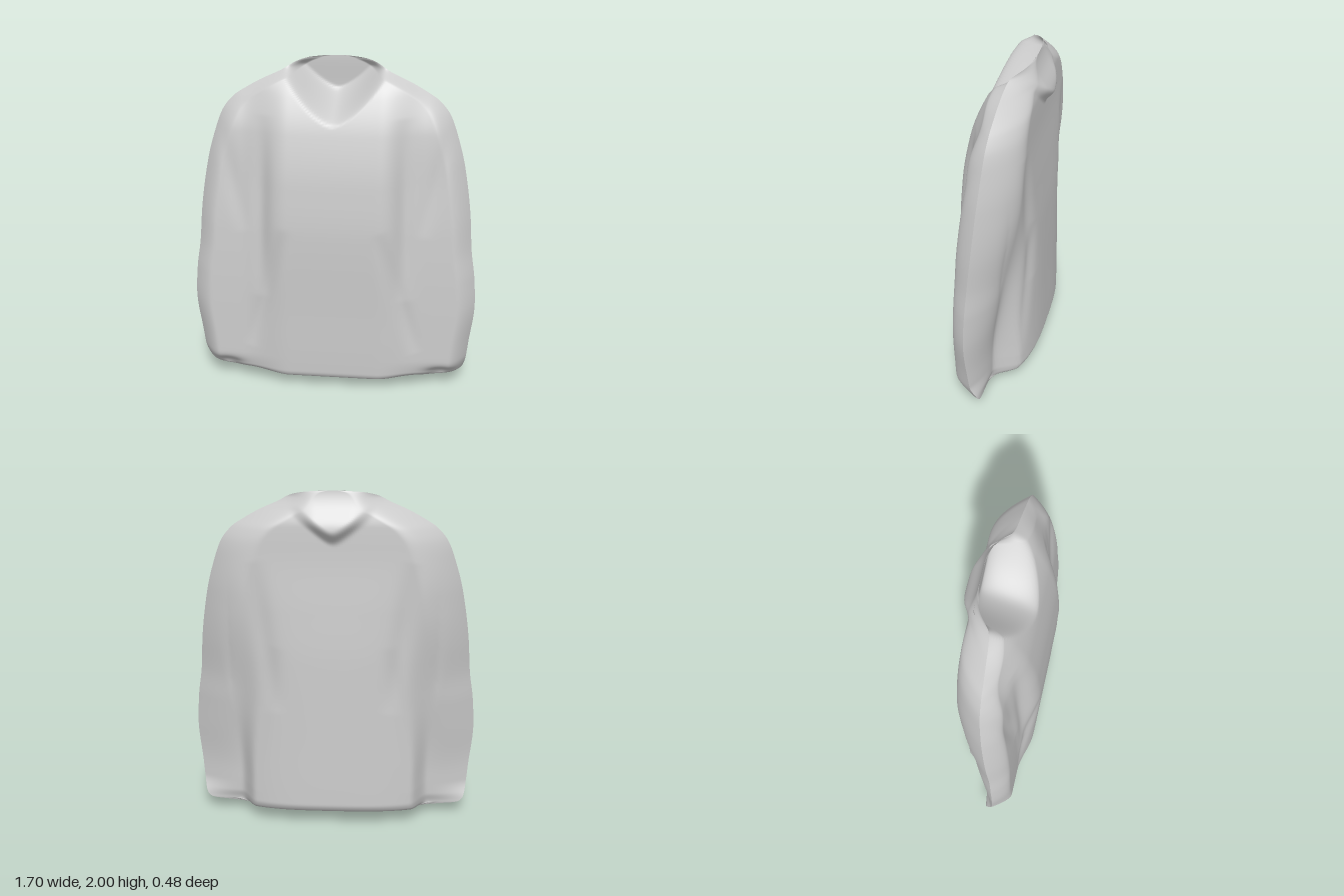
import * as THREE from 'three';

// Smooth monotone curve through [y, value] pairs
function profile(pts) {
  const n = pts.length;
  const slope = i => (pts[i + 1][1] - pts[i][1]) / (pts[i + 1][0] - pts[i][0]);
  const m = pts.map((p, i) => {
    if (i === 0) return slope(0);
    if (i === n - 1) return slope(n - 2);
    const a = slope(i - 1), b = slope(i);
    return a * b <= 0 ? 0 : (2 * a * b) / (a + b);
  });
  return y => {
    let i = 0;
    while (i < n - 2 && y > pts[i + 1][0]) i++;
    const h = pts[i + 1][0] - pts[i][0];
    const t = Math.min(1, Math.max(0, (y - pts[i][0]) / h));
    const t2 = t * t, t3 = t2 * t;
    return pts[i][1] * (2 * t3 - 3 * t2 + 1) + pts[i + 1][1] * (3 * t2 - 2 * t3)
      + h * (m[i] * (t3 - 2 * t2 + t) + m[i + 1] * (t3 - t2));
  };
}
const { lerp, smoothstep, clamp } = THREE.MathUtils;

// Outline half width and side seam depth by height
const halfWidth = profile([[0, 0.1], [0.01, 0.32], [0.025, 0.45], [0.05, 0.56], [0.06, 0.66], [0.07, 0.76],
  [0.1, 0.795], [0.16, 0.81], [0.3, 0.825], [0.55, 0.85], [0.72, 0.84], [0.9, 0.815], [1.1, 0.8], [1.4, 0.755],
  [1.6, 0.7], [1.7, 0.66], [1.78, 0.595], [1.83, 0.52], [1.88, 0.43], [1.93, 0.32], [1.97, 0.245], [1.99, 0.17],
  [2, 0.06]]);
const seamZ = profile([[0, -0.01], [0.1, 0.01], [0.2, 0.05], [0.55, 0.07], [0.8, 0.06], [1.2, 0.025],
  [1.6, -0.01], [1.9, -0.035], [1.95, -0.05], [2, -0.15]]);

// Depth of torso and sleeves, front and back
const torsoFront = profile([[0, -0.01], [0.04, 0.1], [0.08, 0.2], [0.11, 0.212], [0.5, 0.225], [1, 0.24],
  [1.3, 0.22], [1.6, 0.165], [1.8, 0.09], [1.93, 0], [1.97, -0.06], [2, -0.15]]);
const sleeveFront = profile([[0, -0.01], [0.05, 0.04], [0.08, 0.12], [0.11, 0.152], [0.2, 0.164], [0.6, 0.16],
  [1, 0.145], [1.3, 0.12], [1.6, 0.09], [1.8, 0.03], [1.93, -0.02], [2, -0.15]]);
const torsoBack = profile([[0, -0.01], [0.05, -0.12], [0.09, -0.215], [0.13, -0.232], [0.5, -0.228], [1, -0.222],
  [1.3, -0.208], [1.6, -0.19], [1.8, -0.185], [1.92, -0.16], [2, -0.15]]);
const sleeveBack = profile([[0, -0.01], [0.07, -0.005], [0.13, -0.02], [0.3, -0.025], [0.8, -0.09], [1.3, -0.17],
  [1.6, -0.188], [1.8, -0.185], [1.92, -0.15], [2, -0.15]]);

// Soft folds, fading at both ends: start x, y, end x, y, radius, depth
const frontFolds = [[0.4, 1.7, 0.43, 0.6, 0.05, 0.028], [0.28, 1.05, 0.5, 0.25, 0.045, 0.018],
  [0.66, 1.65, 0.53, 1.0, 0.05, 0.01]];
const backFolds = [[0.46, 1.6, 0.34, 0.7, 0.06, 0.016], [0.33, 1.1, 0.5, 0.2, 0.05, 0.014]];
function foldDepth(folds, x, y) {
  return folds.reduce((sum, [ax, ay, bx, by, r, depth]) => {
    const dx = bx - ax, dy = by - ay;
    const t = clamp(((x - ax) * dx + (y - ay) * dy) / (dx * dx + dy * dy), 0, 1);
    const d = Math.hypot(x - ax - t * dx, y - ay - t * dy) / r;
    return sum + depth * 4 * t * (1 - t) * Math.exp(-d * d);
  }, 0);
}

// Pull the surface in to the side seam
const rounding = (d, r, power) => 1 - (1 - Math.min(1, d / r)) ** power;

function frontZ(x, y, w) {
  let z = lerp(torsoFront(y), sleeveFront(y), smoothstep(x, 0.26, 0.54));
  z -= foldDepth(frontFolds, x, y);
  // Hollow of the cuff opening
  z -= 0.06 * Math.exp(-(((x - 0.67) / 0.09) ** 2) - ((y - 0.105) / 0.04) ** 2);
  // V-neck opening, falling back to the inside of the collar
  const rx = Math.hypot(x, 0.03) - 0.03;
  const h = y - (1.67 + 0.5 * rx + 1.9 * rx * rx);
  if (y > 1.6) z = lerp(z, Math.min(z, -0.16 + 0.01 * smoothstep(y, 1.8, 2)), smoothstep(h, -0.02, 0.15));
  return lerp(seamZ(y), z, rounding(w - x, Math.min(0.11, w * 0.5), 1.6));
}

function backZ(x, y, w) {
  const wide = smoothstep(y, 0.3, 1.3);
  // Torso back curves round towards the sides below the chest
  const curve = Math.sqrt(Math.max(0, 1 - (x / 0.61) ** 3));
  const torso = torsoBack(y) * lerp(curve, 1, smoothstep(y, 0.7, 1.6));
  let z = lerp(torso, sleeveBack(y), smoothstep(x, lerp(0.47, 0.33, wide), lerp(0.58, 0.7, wide)));
  z += foldDepth(backFolds, x, y);
  // Raised V of the back collar
  const h = y - (1.69 + 0.85 * (Math.hypot(x, 0.04) - 0.04));
  z -= 0.055 * smoothstep(h, 0, 0.09) * (1 - smoothstep(y, 1.76, 2)) * (1 - smoothstep(x, 0.1, 0.28));
  return lerp(seamZ(y), z, rounding(w - x, Math.min(0.25, w * 0.6), 1.8));
}

// Panel lofted from horizontal rows between the side seams
function panel(depthAt, isFront) {
  const rows = 170, cols = 120, pos = [], index = [];
  for (let j = 0; j <= rows; j++) {
    const v = j / rows;
    const y = 2 * lerp(v, 0.5 - 0.5 * Math.cos(v * Math.PI), 0.75);
    const w = halfWidth(y);
    for (let i = 0; i <= cols; i++) {
      const u = (i / cols) * 2 - 1;
      const x = w * lerp(u, Math.sin(u * Math.PI / 2), 0.7);
      pos.push(x, y, depthAt(Math.abs(x), y, w));
      if (i < cols && j < rows) {
        const a = j * (cols + 1) + i, b = a + 1, c = a + cols + 1, d = c + 1;
        if (isFront) index.push(a, b, d, a, d, c);
        else index.push(a, d, b, a, c, d);
      }
    }
  }
  const geo = new THREE.BufferGeometry();
  geo.setAttribute('position', new THREE.Float32BufferAttribute(pos, 3));
  geo.setIndex(index);
  geo.computeVertexNormals();
  return geo;
}

export function createModel() {
  const group = new THREE.Group();
  group.name = 'sweater';
  const knit = new THREE.MeshStandardMaterial({ color: 0xcccccc });
  knit.name = 'light grey knit';

  const front = new THREE.Mesh(panel(frontZ, true), knit);
  front.name = 'frontPanel';
  const back = new THREE.Mesh(panel(backZ, false), knit);
  back.name = 'backPanel';
  group.add(front, back);
  return group;
}
